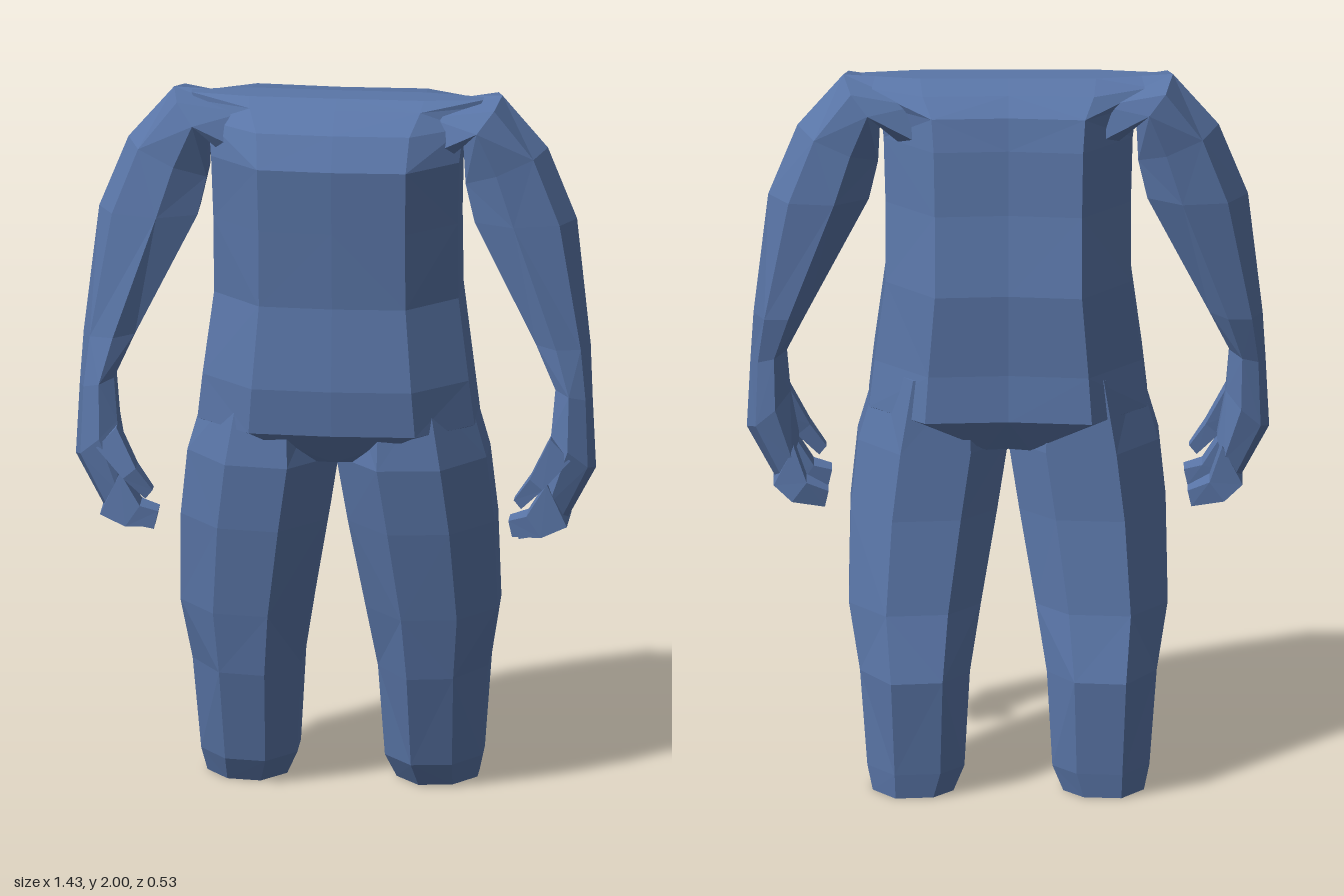
import * as THREE from 'three';

const cloth = new THREE.MeshStandardMaterial({ color: 0x5a76a8, flatShading: true });
cloth.name = 'slate blue';

// Cross-section outlines: u runs from edge A to edge B, v from back to front
const TORSO = [[0, 0.35], [0, 0.7], [0.2, 0.98], [0.5, 1], [0.8, 0.98], [1, 0.7], [1, 0.35], [0.8, 0.02], [0.5, 0.05], [0.2, 0]];
const LEG = [[0, 0.3], [0, 0.68], [0.3, 1], [0.72, 0.95], [1, 0.62], [1, 0.33], [0.72, 0], [0.25, 0.04]];
const ARM = [[0, 0.3], [0, 0.8], [0.4, 1], [0.85, 0.85], [1, 0.5], [0.8, 0.08], [0.35, 0]];
const FINGER = [[0, 0], [0, 1], [1, 1], [1, 0]];

// Lofts an outline through rows of [ax, ay, bx, by, zFront, zBack]; side -1 mirrors
function loft(name, outline, rows, side = 1) {
  const rings = rows.map(([ax, ay, bx, by, zf, zb]) => outline.map(([u, v]) =>
    new THREE.Vector3(side * (ax + (bx - ax) * u), ay + (by - ay) * u, zb + (zf - zb) * v)));
  const tris = [];
  const n = outline.length;
  for (let r = 0; r < rings.length - 1; r++) {
    for (let i = 0; i < n; i++) {
      const j = (i + 1) % n;
      const a = rings[r][i], b = rings[r][j], c = rings[r + 1][j], d = rings[r + 1][i];
      if ((r + i) % 2) tris.push([a, b, c], [a, c, d]);
      else tris.push([a, b, d], [b, c, d]);
    }
  }
  const last = rings[rings.length - 1];
  for (let i = 1; i < n - 1; i++) {
    tris.push([rings[0][0], rings[0][i + 1], rings[0][i]], [last[0], last[i], last[i + 1]]);
  }
  // Make all faces point outwards
  const cross = new THREE.Vector3();
  const volume = tris.reduce((s, [a, b, c]) => s + a.dot(cross.crossVectors(b, c)), 0);
  const points = tris.flatMap(([a, b, c]) => (volume < 0 ? [a, c, b] : [a, b, c]));
  const geometry = new THREE.BufferGeometry().setFromPoints(points);
  geometry.computeVertexNormals();
  const mesh = new THREE.Mesh(geometry, cloth);
  mesh.name = name;
  return mesh;
}

export function createModel() {
  const group = new THREE.Group();
  group.name = 'headlessFigure';

  // Torso levels: height, half width, front, back
  const levels = [
    [0.97, 0.1, 0.17, -0.13],
    [1.07, 0.38, 0.255, -0.21],
    [1.2, 0.365, 0.265, -0.2],
    [1.43, 0.335, 0.24, -0.205],
    [1.65, 0.335, 0.255, -0.165],
    [1.83, 0.34, 0.268, -0.15],
    [1.92, 0.35, 0.22, -0.13],
    [1.97, 0.39, 0.15, -0.08],
    [1.99, 0.4, 0.1, 0.02],
  ];
  group.add(loft('torso', TORSO, levels.map(([y, w, f, b]) => [-w, y, w, y, f, b])));

  // Leg levels: height, inner x, outer x, front, back
  const legLevels = [
    [1.18, 0.03, 0.35, 0.22, -0.16],
    [0.97, 0.0, 0.41, 0.245, -0.17],
    [0.78, 0.03, 0.43, 0.22, -0.18],
    [0.52, 0.075, 0.435, 0.17, -0.215],
    [0.34, 0.105, 0.405, 0.135, -0.265],
    [0.07, 0.12, 0.385, 0.055, -0.235],
    [0, 0.15, 0.37, 0.01, -0.225],
  ];

  for (const [label, side] of [['left', 1], ['right', -1]]) {
    group.add(loft(label + 'Leg', LEG, legLevels.map(([y, i, o, f, b]) => [i, y, o, y, f, b]), side));

    // Shoulder, sleeve, wrist and palm
    group.add(loft(label + 'Arm', ARM, [
      [0.22, 1.75, 0.26, 1.985, 0.16, -0.08],
      [0.35, 1.87, 0.45, 1.995, 0.17, -0.08],
      [0.355, 1.76, 0.575, 1.85, 0.155, -0.06],
      [0.38, 1.65, 0.655, 1.65, 0.155, -0.055],
      [0.55, 1.31, 0.695, 1.3, 0.165, -0.01],
      [0.605, 1.19, 0.703, 1.16, 0.185, 0.03],
      [0.595, 1.07, 0.713, 0.96, 0.2, 0.03],
      [0.57, 0.93, 0.625, 0.795, 0.19, 0.05],
    ], side));

    // Curled fingers and thumb
    group.add(loft(label + 'FrontFingers', FINGER, [
      [0.585, 0.93, 0.64, 0.81, 0.195, 0.125],
      [0.53, 0.84, 0.57, 0.78, 0.205, 0.13],
      [0.48, 0.825, 0.49, 0.78, 0.2, 0.14],
    ], side));
    group.add(loft(label + 'BackFingers', FINGER, [
      [0.585, 0.92, 0.64, 0.81, 0.125, 0.05],
      [0.55, 0.82, 0.59, 0.765, 0.12, 0.04],
      [0.49, 0.79, 0.5, 0.745, 0.11, 0.06],
    ], side));
    group.add(loft(label + 'Thumb', FINGER, [
      [0.595, 1.06, 0.65, 1.0, 0.195, 0.13],
      [0.54, 0.95, 0.575, 0.92, 0.215, 0.155],
      [0.495, 0.885, 0.515, 0.86, 0.2, 0.165],
    ], side));
  }
  return group;
}
